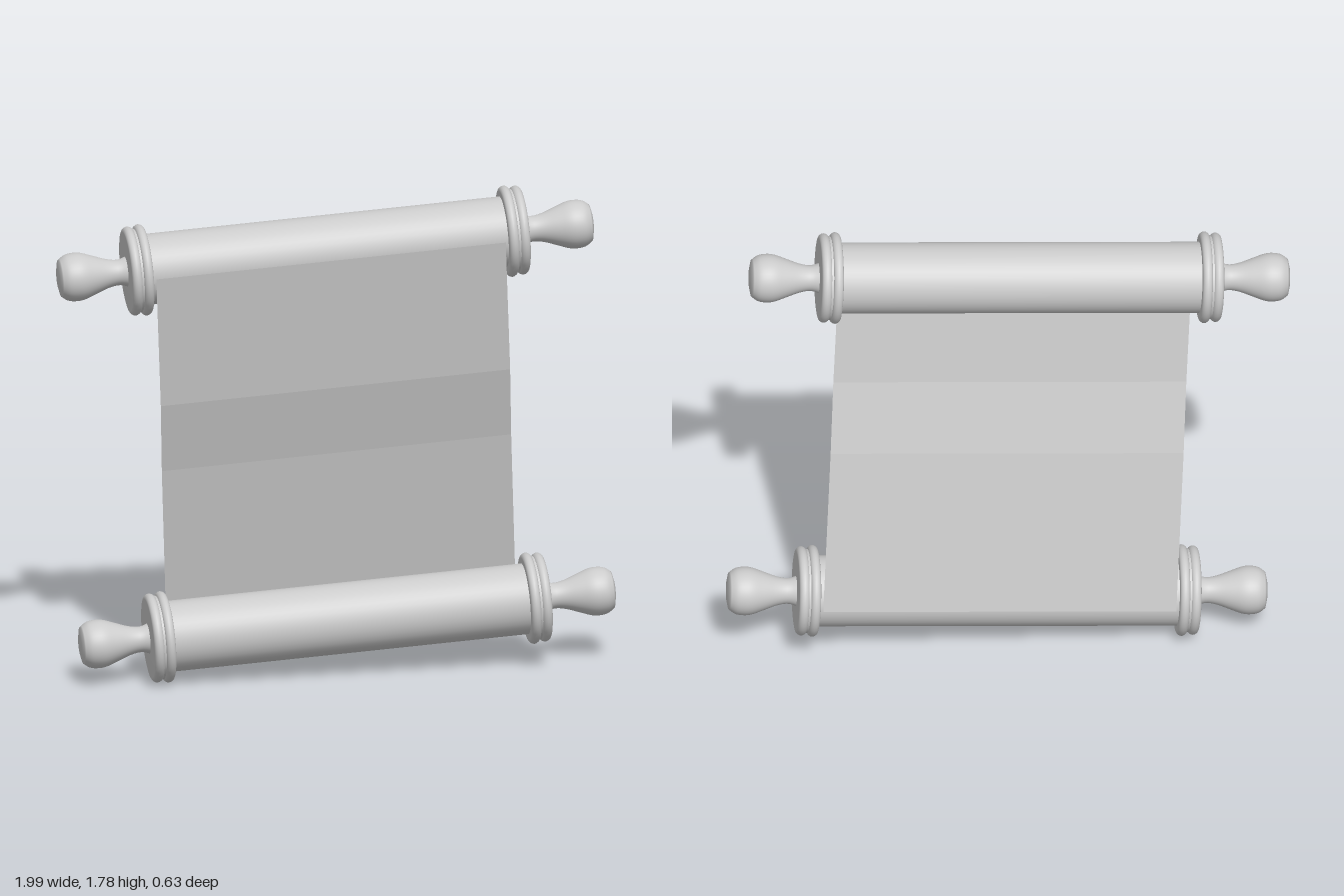
import * as THREE from 'three';

const ROD_Y = 0.689;     // rod distance from the scroll's middle
const ROD_R = 0.127;

export function createModel() {
  const model = new THREE.Group();
  model.name = 'scroll';
  const mat = new THREE.MeshStandardMaterial({ color: 0xcccccc });
  const sheetMat = new THREE.MeshStandardMaterial({ color: 0xcccccc, side: THREE.DoubleSide, flatShading: true });

  const add = (parent, name, geometry, material = mat) => {
    const mesh = new THREE.Mesh(geometry, material);
    mesh.name = name;
    parent.add(mesh);
    return mesh;
  };
  const lathe = (points) => new THREE.LatheGeometry(points.map(([r, y]) => new THREE.Vector2(r, y)), 40);

  // Ring with a rounded rim, from axial position a to b
  const ring = (radius, a, b) => {
    const h = (b - a) / 2, mid = (a + b) / 2, pts = [[0, a]];
    for (let i = 0; i <= 8; i++) {
      const t = -Math.PI / 2 + (i / 8) * Math.PI;
      pts.push([radius - h + h * Math.cos(t), mid + h * Math.sin(t)]);
    }
    pts.push([0, b]);
    return lathe(pts);
  };

  // Turned handle: neck swelling to a rounded knob
  const neck = new THREE.SplineCurve([
    [0.056, 0.715], [0.046, 0.75], [0.052, 0.79], [0.07, 0.84],
    [0.084, 0.88], [0.087, 0.91], [0.082, 0.94], [0.066, 0.963],
  ].map(([r, y]) => new THREE.Vector2(r, y))).getPoints(24).map((p) => [p.x, p.y]);
  const handleGeo = lathe([...neck, [0.04, 0.969], [0, 0.971]]);

  // One end of a rod, pointing along +y
  const makeEnd = (name) => {
    const end = new THREE.Group();
    end.name = name;
    add(end, 'innerRing', ring(0.164, 0.645, 0.681));
    add(end, 'ringCore', new THREE.CylinderGeometry(0.15, 0.15, 0.05, 40)).position.y = 0.685;
    add(end, 'outerRing', ring(0.16, 0.685, 0.722));
    add(end, 'handle', handleGeo);
    return end;
  };

  // Two rods lying along x, each with a mirrored pair of ends
  for (const [name, side] of [['upperRod', 1], ['lowerRod', -1]]) {
    const rod = new THREE.Group();
    rod.name = name;
    add(rod, 'roll', new THREE.CylinderGeometry(ROD_R, ROD_R, 1.32, 40));
    const rightEnd = makeEnd('rightEnd');
    rightEnd.rotation.x = Math.PI;
    rod.add(makeEnd('leftEnd'), rightEnd);
    rod.rotation.z = -Math.PI / 2;
    rod.position.y = side * ROD_Y;
    model.add(rod);
  }

  // Sheet from the front of the upper rod to the back of the lower one
  const profile = [[ROD_Y, 0.13], [0.19, 0.054], [-0.075, -0.015], [-ROD_Y, -0.13]];
  const sheet = new THREE.PlaneGeometry(1.268, 1, 1, profile.length - 1);
  const pos = sheet.attributes.position;
  for (let i = 0; i < pos.count; i++) {
    const [y, z] = profile[Math.floor(i / 2)];
    pos.setY(i, y);
    pos.setZ(i, z);
  }
  sheet.computeVertexNormals();
  add(model, 'sheet', sheet, sheetMat);

  // Tilt and turn the whole scroll
  const along = new THREE.Vector3(0.972, 0.06, 0.228).normalize();
  const front = along.clone().cross(new THREE.Vector3(-0.058, 0.998, 0)).normalize();
  const up = front.clone().cross(along);
  model.quaternion.setFromRotationMatrix(new THREE.Matrix4().makeBasis(along, up, front));
  model.position.y = 0.904;

  const root = new THREE.Group();
  root.name = 'tiltedScroll';
  root.add(model);
  return root;
}
